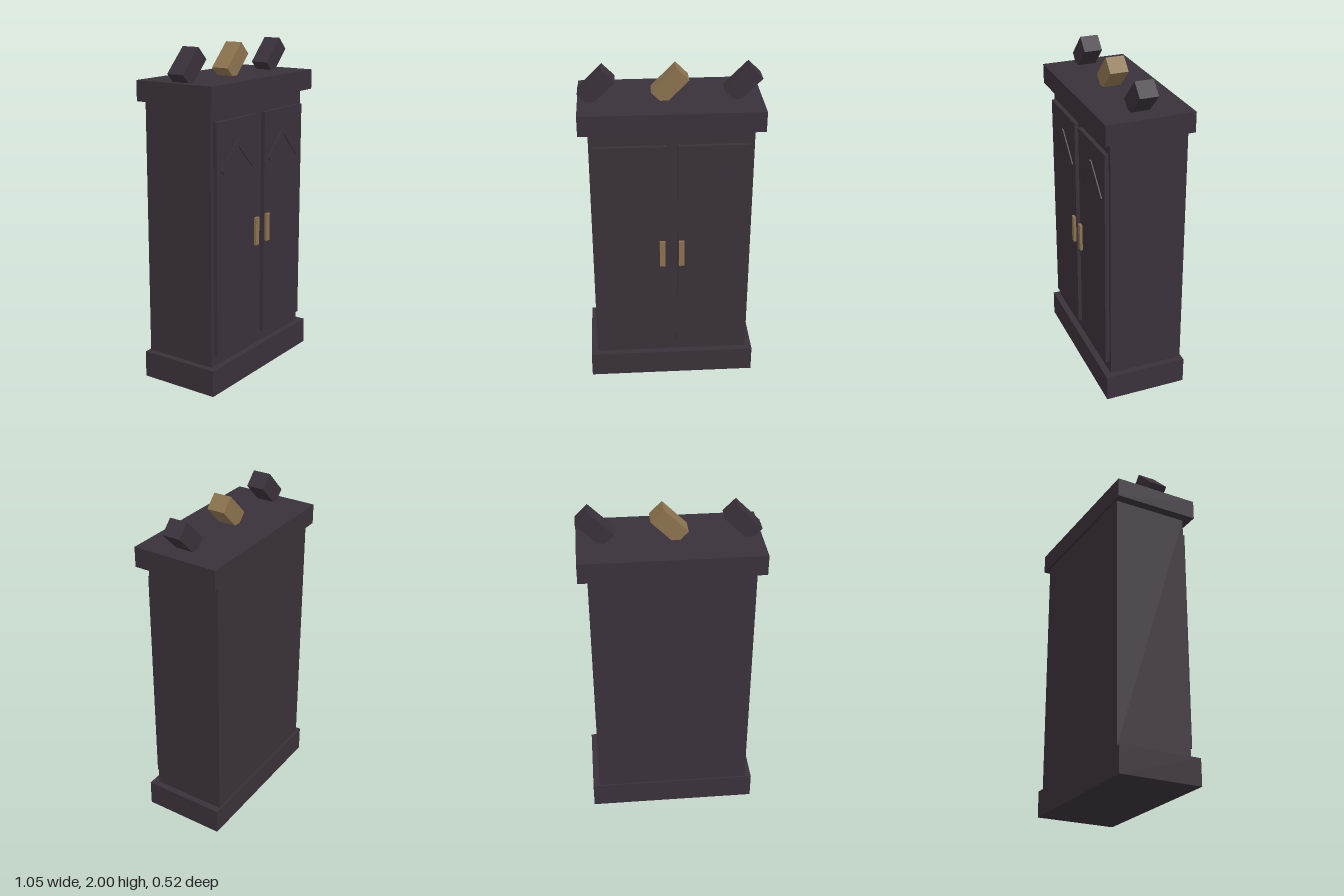
import * as THREE from 'three';

export function createModel() {
  const model = new THREE.Group();
  model.name = 'wardrobe';

  const darkWood = new THREE.MeshStandardMaterial({ color: 0x3a313a });
  darkWood.name = 'dark wood';
  const brass = new THREE.MeshStandardMaterial({ color: 0x8b734e });
  brass.name = 'brass';

  // Box given by its size and centre, optionally tilted about z
  function box(name, material, [w, h, d], [x, y, z], tilt = 0) {
    const mesh = new THREE.Mesh(new THREE.BoxGeometry(w, h, d), material);
    mesh.name = name;
    mesh.position.set(x, y, z);
    mesh.rotation.z = tilt;
    model.add(mesh);
  }

  // Carcass
  box('plinth', darkWood, [1.02, 0.16, 0.508], [0, 0.08, 0]);
  box('cabinetBody', darkWood, [0.94, 1.53, 0.46], [0, 0.925, -0.015]);
  box('cornice', darkWood, [1.05, 0.12, 0.525], [0, 1.75, 0]);

  // Doors with pointed trim and a handle each
  for (const [side, s] of [['left', 1], ['right', -1]]) {
    const doorX = s * 0.24;
    box(side + 'Door', darkWood, [0.415, 1.373, 0.025], [doorX, 0.917, 0.2275]);
    for (const t of [-1, 1]) {
      box(side + 'DoorTrim', darkWood, [0.23, 0.04, 0.012],
        [doorX + t * 0.075, 1.394, 0.241], -t * Math.PI / 4);
    }
    box(side + 'Handle', brass, [0.033, 0.17, 0.022], [s * 0.057, 0.9, 0.245]);
  }

  // Tilted crest blocks, sunk slightly into the cornice
  for (const [name, x, material] of [
    ['rightCrest', -0.416, darkWood],
    ['centreCrest', 0, brass],
    ['leftCrest', 0.416, darkWood],
  ]) {
    box(name, material, [0.2, 0.103, 0.11], [x, 1.893, 0.015], Math.PI / 4);
  }

  return model;
}
